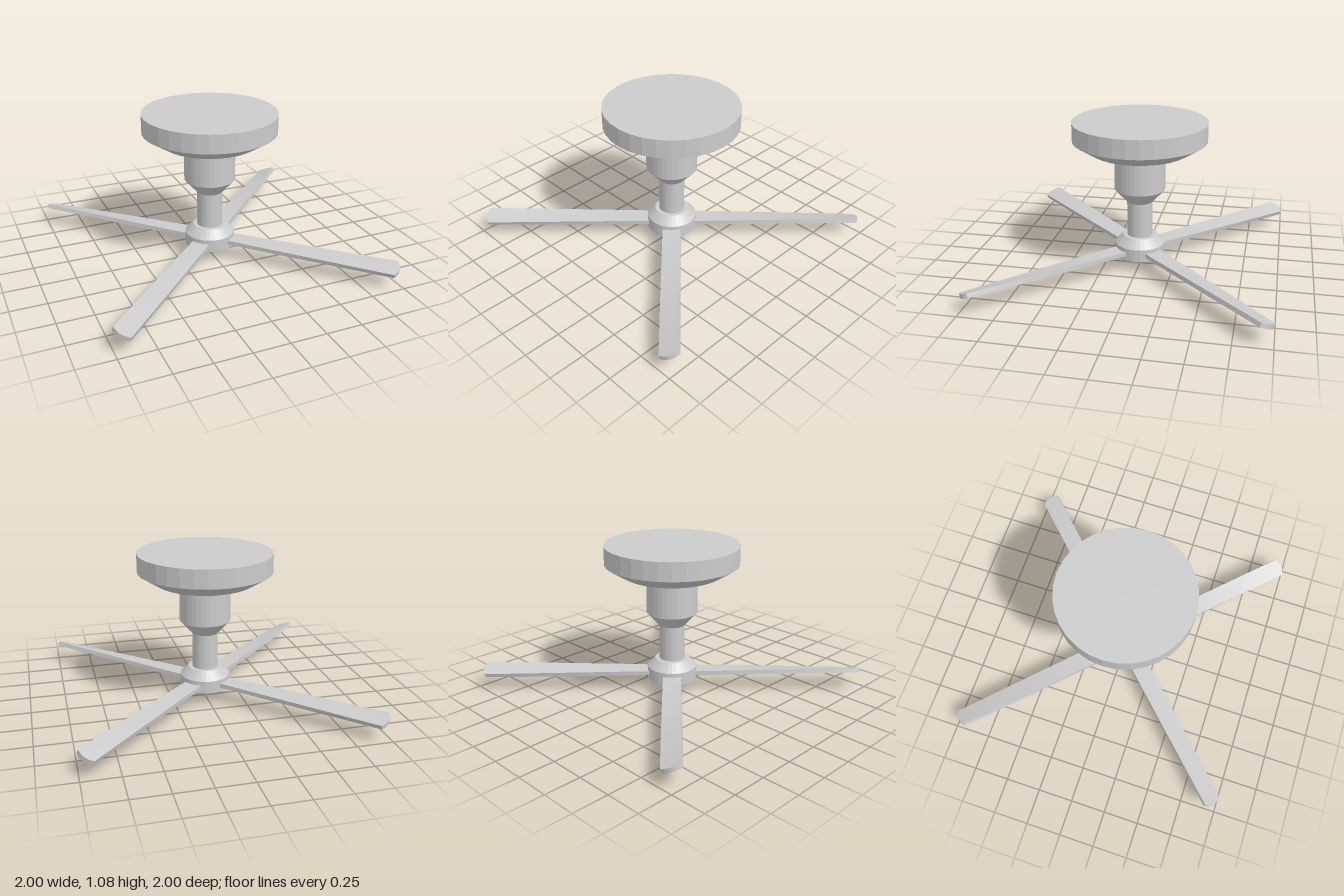
import * as THREE from 'three';

const material = new THREE.MeshStandardMaterial({ color: 0xcccccc, flatShading: true });

// Turned part from [radius, height] pairs, listed bottom to top
function turned(name, profile, segments = 32) {
  const points = profile.map(([r, y]) => new THREE.Vector2(r, y));
  const mesh = new THREE.Mesh(new THREE.LatheGeometry(points, segments), material);
  mesh.name = name;
  return mesh;
}

// Blade along +x: flat at the hub, pitched up to the tip on its +z or -z edge, with a bowed end
function bladeGeometry(pitch) {
  const inner = 0.1, outer = 1.35, width = 0.128, bow = 0.022;
  const geometry = new THREE.BoxGeometry(outer - inner, 0.031, width, 8, 1, 6);
  const pos = geometry.attributes.position;
  for (let i = 0; i < pos.count; i++) {
    const t = pos.getX(i) / (outer - inner) + 0.5;
    const y = pos.getY(i), z = pos.getZ(i);
    const reach = outer + bow * (1 - (2 * z / width) ** 2);
    const angle = pitch * Math.max(0, (t - 0.06) / 0.94);
    const c = Math.cos(angle), s = Math.sin(angle);
    pos.setXYZ(i, inner + t * (reach - inner), y * c + z * s, z * c - y * s);
  }
  geometry.computeVertexNormals();
  return geometry;
}

export function createModel() {
  const group = new THREE.Group();
  group.name = 'ceilingFan';

  // Ceiling plate and motor housing
  group.add(turned('ceilingMount', [
    [0, 0.812], [0.18, 0.812], [0.345, 0.865], [0.473, 0.945], [0.473, 1.077], [0, 1.077],
  ]));
  group.add(turned('motorHousing', [
    [0, 0.492], [0.093, 0.492], [0.18, 0.588], [0.18, 0.815],
  ]));
  group.add(turned('downRod', [[0.091, 0.22], [0.091, 0.5]]));

  // Hub with a small finial below
  group.add(turned('hub', [
    [0, 0.035], [0.05, 0.038], [0.125, 0.06], [0.177, 0.087],
    [0.177, 0.178], [0.12, 0.237], [0, 0.24],
  ]));
  const finial = new THREE.Mesh(new THREE.SphereGeometry(0.026, 16, 10), material);
  finial.name = 'finial';
  finial.position.y = 0.026;
  group.add(finial);

  // Four diagonal blades, pitched so the edge towards +x or -x is the high one
  for (let i = 0; i < 4; i++) {
    const pitch = (i % 2 ? -1 : 1) * 0.36;
    const blade = new THREE.Mesh(bladeGeometry(pitch), material);
    blade.name = 'blade' + (i + 1);
    blade.rotation.y = Math.PI / 4 + i * Math.PI / 2;
    blade.position.y = 0.134;
    group.add(blade);
  }
  return group;
}
